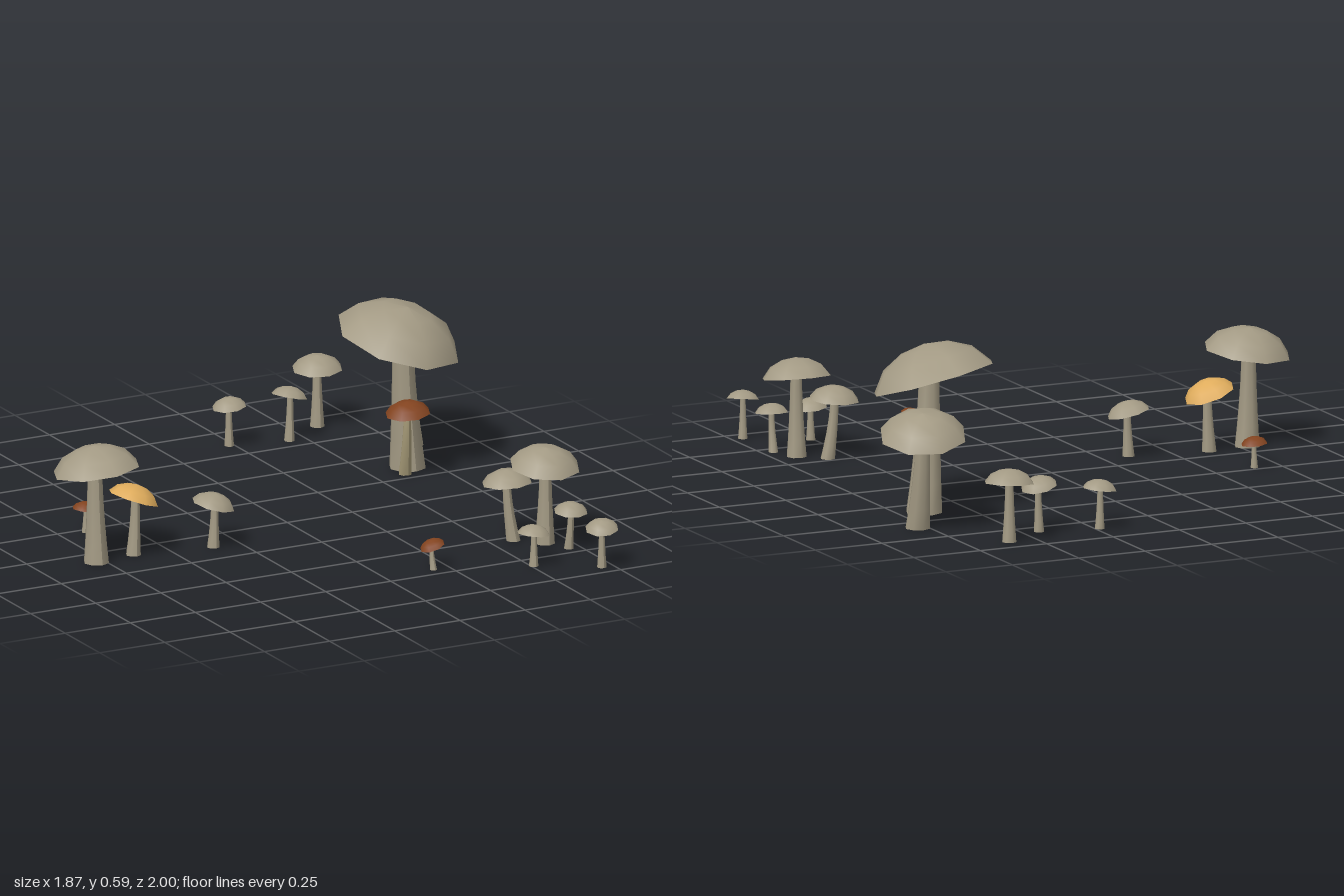
import * as THREE from 'three';

const makeMaterial = (name, color) => {
  const m = new THREE.MeshStandardMaterial({ color });
  m.name = name;
  return m;
};

// Eight-sided dome above the rim plane, and a hollow underside
function makeCap(radius, height, material) {
  const cap = new THREE.Group();
  cap.name = 'cap';
  const lathe = (name, profile) => {
    const points = profile.map(([r, y]) => new THREE.Vector2(r * radius, y * height));
    const mesh = new THREE.Mesh(new THREE.LatheGeometry(points, 8), material);
    mesh.name = name;
    cap.add(mesh);
  };
  lathe('dome', [[1, 0], [0.76, 0.55], [0.4, 0.88], [0, 1]]);
  lathe('underside', [[0, 0.36], [0.5, 0.3], [1, 0]]);
  return cap;
}

// Tapered stem, flared at the foot and bending towards the cap
function makeStem(foot, neck, footRadius, neckRadius, material) {
  const geometry = new THREE.CylinderGeometry(1, 1, 1, 8, 5);
  const p = geometry.attributes.position;
  for (let i = 0; i < p.count; i++) {
    const t = p.getY(i) + 0.5;
    const r = THREE.MathUtils.lerp(neckRadius, footRadius, Math.pow(1 - t, 1.7));
    const centre = foot.clone().lerp(neck, Math.sin((t * Math.PI) / 2));
    p.setXYZ(i, centre.x + p.getX(i) * r, t * neck.y, centre.z + p.getZ(i) * r);
  }
  geometry.computeVertexNormals();
  const mesh = new THREE.Mesh(geometry, material);
  mesh.name = 'stem';
  return mesh;
}

// One mushroom: rim centre, cap radius, rim slope along x and z, and how far
// the foot stands from below the cap. All other sizes follow the cap radius.
function makeMushroom(name, capColor, stemColor, rim, radius, slope, lean = [0, 0]) {
  const mushroom = new THREE.Group();
  mushroom.name = name;
  const height = radius * 0.55;
  const axis = new THREE.Vector3(-slope[0], 1, -slope[1]).normalize();
  const cap = makeCap(radius, height, capColor);
  cap.position.set(...rim);
  cap.quaternion.setFromUnitVectors(new THREE.Vector3(0, 1, 0), axis);
  const foot = new THREE.Vector3(rim[0] + lean[0], 0, rim[2] + lean[1]);
  const neck = cap.position.clone().addScaledVector(axis, height * 0.45);
  mushroom.add(cap, makeStem(foot, neck, radius * 0.29, radius * 0.165, stemColor));
  return mushroom;
}

export function createModel() {
  const grey = makeMaterial('mushroom grey', 0xa39a84);
  const brown = makeMaterial('cap brown', 0x82431f);
  const yellow = makeMaterial('cap yellow', 0xdfac5c);
  const tan = makeMaterial('stem tan', 0xaca07c);

  const model = new THREE.Group();
  model.name = 'mushroomPatch';

  const rightCluster = new THREE.Group();
  rightCluster.name = 'rightCluster';
  rightCluster.add(
    makeMushroom('tallMushroom', grey, grey, [-0.78, 0.33, 0.09], 0.153, [0.1, 0.1]),
    makeMushroom('yellowMushroom', yellow, grey, [-0.63, 0.2, 0.075], 0.09, [-0.36, 0]),
    makeMushroom('middleMushroom', grey, grey, [-0.35, 0.15, 0.125], 0.076, [-0.23, -0.1]),
    makeMushroom('smallBrownMushroom', brown, grey, [-0.655, 0.083, -0.225], 0.046, [-0.1, 0]),
  );

  const rearCluster = new THREE.Group();
  rearCluster.name = 'rearCluster';
  rearCluster.add(
    makeMushroom('giantMushroom', grey, grey, [0.62, 0.46, -0.365], 0.222, [-0.2, -0.24], [0.035, 0]),
    makeMushroom('backTallMushroom', grey, grey, [0.785, 0.33, -0.625], 0.152, [-0.12, 0.25], [0, 0.04]),
    makeMushroom('brownMushroom', brown, tan, [0.59, 0.235, -0.24], 0.079, [0.1, -0.03], [0.02, -0.057]),
    makeMushroom('rearMushroom', grey, grey, [0.6, 0.205, -0.915], 0.088, [0.05, -0.06]),
    makeMushroom('rearMiddleMushroom', grey, grey, [0.44, 0.157, -0.815], 0.064, [-0.25, 0.1]),
    makeMushroom('rearSmallMushroom', grey, grey, [0.233, 0.138, -0.86], 0.06, [0.12, 0]),
  );

  const frontCluster = new THREE.Group();
  frontCluster.name = 'frontCluster';
  frontCluster.add(
    makeMushroom('frontTallMushroom', grey, grey, [0.665, 0.275, 0.61], 0.123, [0, -0.16]),
    makeMushroom('frontMiddleMushroom', grey, grey, [0.565, 0.205, 0.525], 0.088, [0.05, 0.05], [0.02, 0.008]),
    makeMushroom('frontHiddenMushroom', grey, grey, [0.708, 0.135, 0.717], 0.059, [0, -0.1], [0, -0.014]),
    makeMushroom('frontBrownMushroom', brown, grey, [0.19, 0.081, 0.692], 0.044, [0.36, 0], [0, 0.008]),
    makeMushroom('frontSmallMushroom', grey, grey, [0.51, 0.114, 0.822], 0.058, [-0.12, 0.05]),
    makeMushroom('frontEdgeMushroom', grey, grey, [0.708, 0.137, 0.942], 0.058, [0.12, -0.17]),
  );

  model.add(rightCluster, rearCluster, frontCluster);
  return model;
}
